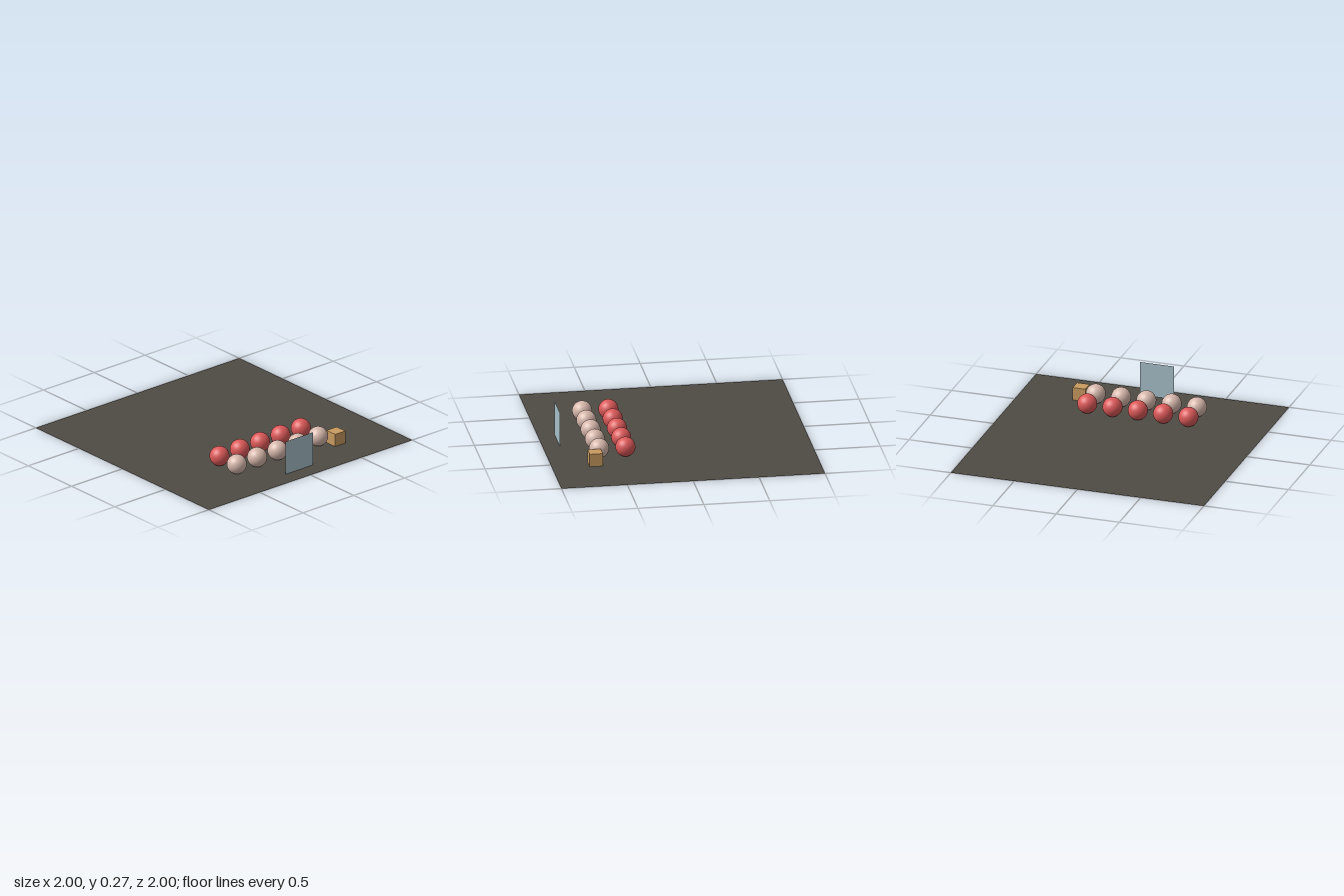
import * as THREE from 'three';

export function createModel() {
  const model = new THREE.Group();
  const material = (name, color, side = THREE.FrontSide) => {
    const m = new THREE.MeshStandardMaterial({ color, side });
    m.name = name;
    return m;
  };
  const darkFloor = material('dark grey floor', 0x4f4b45, THREE.DoubleSide);
  const paleBlue = material('pale blue', 0xa8bfc8, THREE.DoubleSide);
  const red = material('red', 0xdb5858);
  const beige = material('beige', 0xd6b7ab);
  const tan = material('tan', 0xc99b60);

  const add = (name, geometry, mat, x, y, z) => {
    const mesh = new THREE.Mesh(geometry, mat);
    mesh.name = name;
    mesh.position.set(x, y, z);
    model.add(mesh);
  };

  // Square floor sheet
  add('floor', new THREE.PlaneGeometry(2, 2).rotateX(-Math.PI / 2), darkFloor, 0, 0, 0);

  // Two rows of five balls
  const ball = new THREE.SphereGeometry(0.075, 32, 24);
  for (let i = -2; i <= 2; i++) {
    add('backBall', ball, red, i * 0.2, 0.075, 0.418);
    add('frontBall', ball, beige, i * 0.2, 0.075, 0.618);
  }

  // Upright sheet standing in front of the balls
  add('uprightPanel', new THREE.PlaneGeometry(0.267, 0.267), paleBlue, 0, 0.1335, 0.87);

  // Small cube at the end of the front row
  add('cube', new THREE.BoxGeometry(0.1, 0.1, 0.1), tan, 0.532, 0.05, 0.668);

  return model;
}
